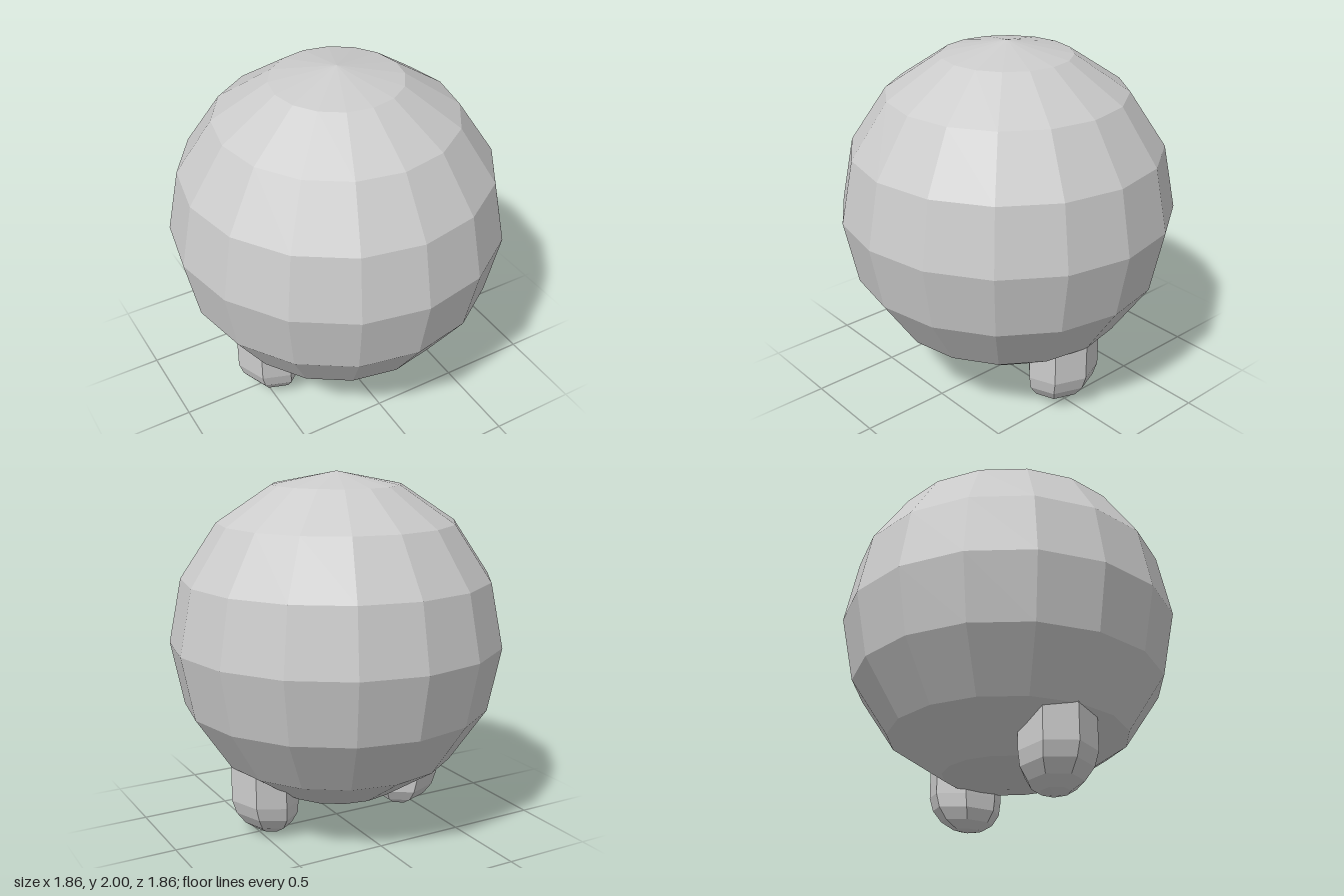
import * as THREE from 'three';

const material = new THREE.MeshStandardMaterial({ color: 0xcccccc, flatShading: true });

// Seven-sided stubby foot, one corner pointing outward (+x), leaning inward at the sole
function footGeometry() {
  const geometry = new THREE.CapsuleGeometry(0.2, 0.2, 4, 7);
  geometry.rotateY(Math.PI);
  geometry.scale(0.96, 1, 1.06);
  geometry.translate(0, 0.3, 0);
  const p = geometry.attributes.position;
  for (let i = 0; i < p.count; i++) {
    const x = p.getX(i), y = p.getY(i);
    p.setXY(i, x + 0.15 * Math.min(0, y - 0.2), y + 0.1 * x);
  }
  geometry.translate(0.47, 0, 0);
  geometry.computeVertexNormals();
  return geometry;
}

export function createModel() {
  const model = new THREE.Group();
  model.name = 'roundBodyWithFeet';

  // Faceted ball body
  const body = new THREE.Mesh(new THREE.SphereGeometry(0.93, 16, 8), material);
  body.name = 'body';
  body.position.y = 1.07;
  model.add(body);

  // Feet: the right one is the left one turned half way round
  const geometry = footGeometry();
  for (const [name, turn] of [['leftFoot', 0], ['rightFoot', Math.PI]]) {
    const foot = new THREE.Mesh(geometry, material);
    foot.name = name;
    foot.rotation.y = turn;
    model.add(foot);
  }

  return model;
}
